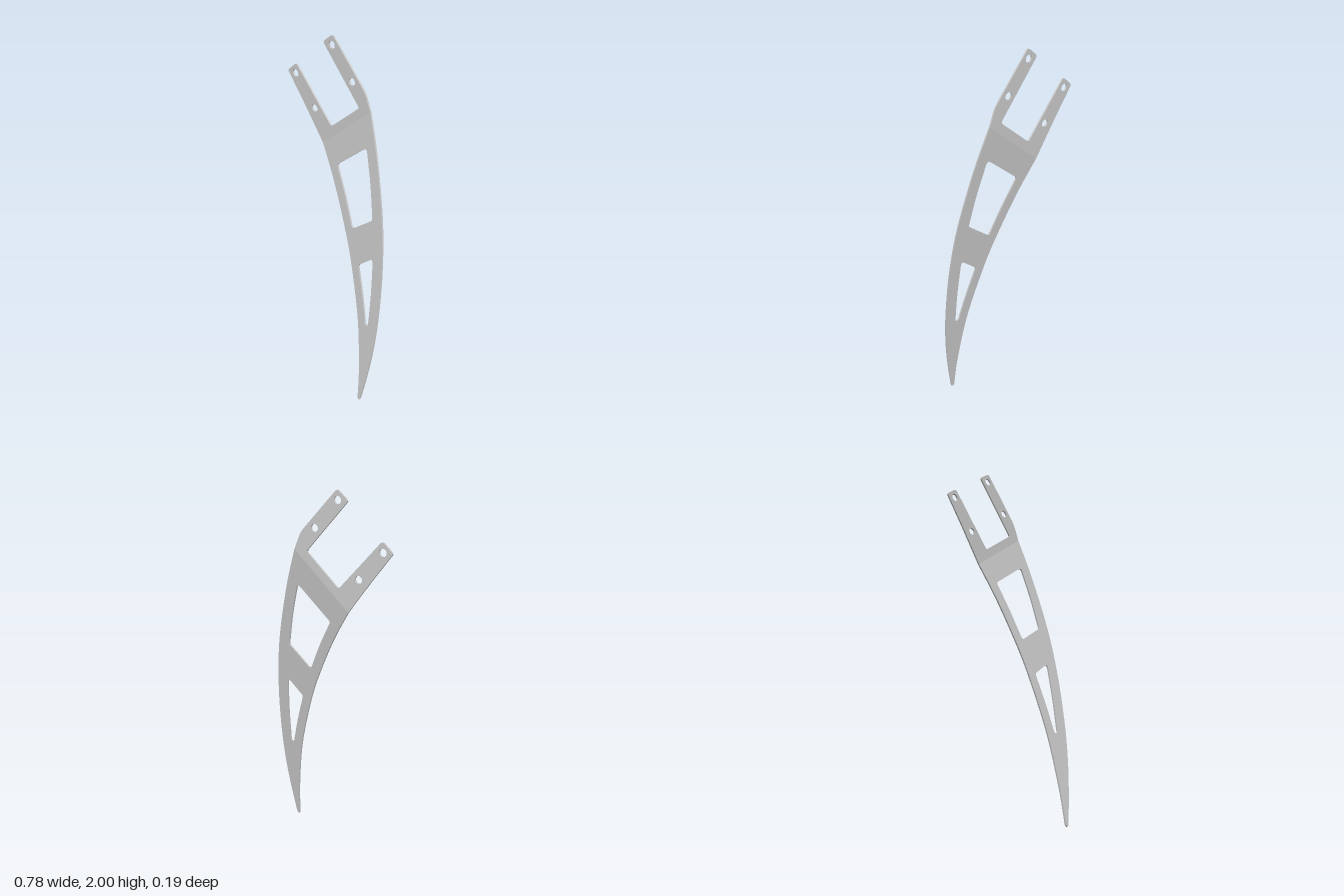
import * as THREE from 'three';
import { toCreasedNormals } from 'three/addons/utils/BufferGeometryUtils.js';

const THICKNESS = 0.009;
const vec = (pts) => pts.map(([x, y]) => new THREE.Vector2(x, y));
const curve = (pts, n = 28) => new THREE.SplineCurve(vec(pts)).getPoints(n);

// The sheet lies in two planes that meet along a slanted fold
const lowerZ = (x, y) => 0.1005 - 0.0385 * x - 0.1094 * y;
const upperZ = (x) => -0.066 - 0.137 * x;
const foldY = (x) => 1.5219 + 0.9004 * x;
const foldLeft = [-0.148, foldY(-0.148)];
const foldRight = [0.169, foldY(0.169)];

// Cut a flat plate and tilt it into its plane; the outline is given clockwise
// and turned here, so the extrusion orients the holes to match
function plate(name, outline, holes, zAt, material) {
  const shape = new THREE.Shape(outline.reverse());
  shape.holes = holes;
  let geo = new THREE.ExtrudeGeometry(shape, { depth: THICKNESS, bevelEnabled: false, curveSegments: 24 });
  const p = geo.attributes.position;
  for (let i = 0; i < p.count; i++) {
    p.setZ(i, p.getZ(i) - THICKNESS / 2 + zAt(p.getX(i), p.getY(i)));
  }
  geo = toCreasedNormals(geo, 0.5);
  const mesh = new THREE.Mesh(geo, material);
  mesh.name = name;
  return mesh;
}

export function createModel() {
  const group = new THREE.Group();
  group.name = 'bentBladeBracket';
  const material = new THREE.MeshStandardMaterial({ color: 0xcccccc });

  // Curved blade tapering to a narrow rounded tip
  const rightEdge = curve([foldRight, [0.251, 1.447], [0.336, 1.134], [0.376, 0.864],
    [0.39, 0.599], [0.385, 0.387], [0.366, 0.201], [0.338, 0.02]], 42);
  const tip = vec([[0.333, 0.004], [0.327, 0], [0.321, 0.003]]);
  const leftEdge = curve([[0.317, 0.015], [0.301, 0.2], [0.248, 0.503], [0.148, 0.821],
    [0.063, 1.017], [-0.042, 1.219], foldLeft], 42);

  // Two tapered windows
  const upperWindow = new THREE.Path([
    ...vec([[-0.024, 1.314], [-0.018, 1.322], [0.155, 1.473], [0.165, 1.478], [0.174, 1.473]]),
    ...curve([[0.178, 1.465], [0.228, 1.3], [0.267, 1.13]], 8),
    ...vec([[0.266, 1.121], [0.261, 1.114], [0.146, 1.018], [0.136, 1.013], [0.128, 1.016]]),
    ...curve([[0.122, 1.025], [0.053, 1.168], [-0.023, 1.304]], 8),
  ]);
  const lowerWindow = new THREE.Path([
    ...vec([[0.208, 0.822], [0.212, 0.829], [0.285, 0.894], [0.296, 0.9], [0.304, 0.895]]),
    ...curve([[0.307, 0.885], [0.322, 0.7], [0.328, 0.51]], 8),
    ...vec([[0.325, 0.502], [0.308, 0.502]]),
    ...curve([[0.303, 0.509], [0.26, 0.66], [0.208, 0.812]], 8),
  ]);
  group.add(plate('blade', [...rightEdge, ...tip, ...leftEdge],
    [upperWindow, lowerWindow], lowerZ, material));

  // Mounting fork with two arms and four bolt holes
  const fork = [
    ...curve([foldLeft, [-0.272, 1.562], [-0.386, 1.714]], 10),
    ...vec([
      [-0.39, 1.722], [-0.386, 1.731], [-0.344, 1.77], [-0.334, 1.774], [-0.325, 1.769],
      [-0.099, 1.513], [-0.091, 1.508], [-0.082, 1.512],
      [0.088, 1.664], [0.093, 1.672], [0.089, 1.682],
      [-0.135, 1.941], [-0.139, 1.95], [-0.134, 1.959],
      [-0.092, 1.996], [-0.083, 2], [-0.074, 1.996],
      [0.117, 1.783], [0.131, 1.763], [0.142, 1.741],
    ]),
    new THREE.Vector2(...foldRight),
  ];
  const boltHoles = [[-0.339, 1.723], [-0.206, 1.569], [-0.085, 1.95], [0.048, 1.797]]
    .map(([x, y]) => new THREE.Path().absarc(x, y, 0.02, 0, Math.PI * 2, true));
  group.add(plate('mountingFork', fork, boltHoles, upperZ, material));

  return group;
}
